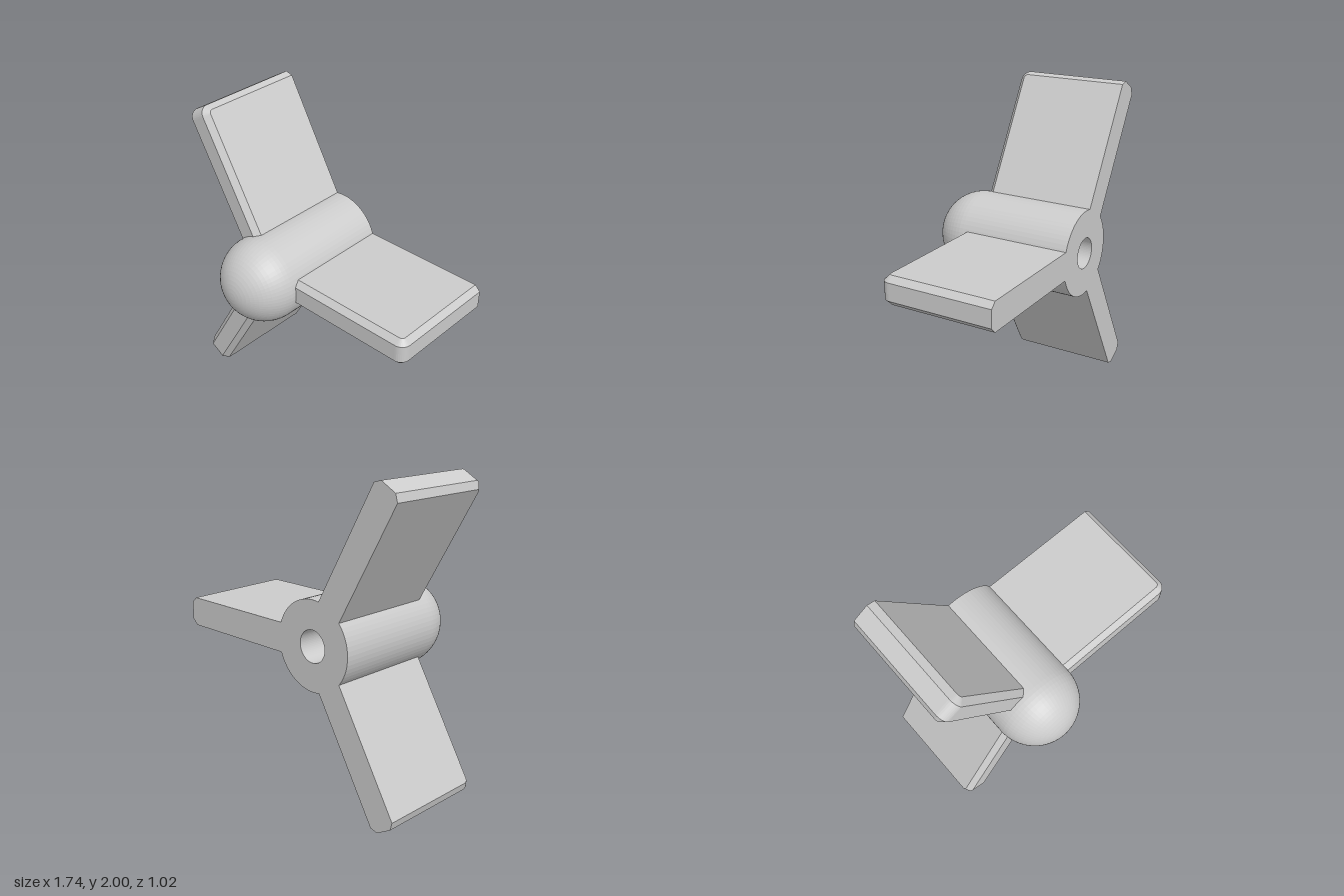
import * as THREE from 'three';

const BACK = -0.51, FRONT = 0.23;      // z extent of hub cylinder and blades
const HUB_R = 0.28, BORE_R = 0.1, BORE_END = 0.1;
const ROOT = 0.26, TIP = 1.12;         // blade reach from the hub axis
const HALF = 0.0925, BEVEL = 0.036, CORNER = 0.06;

// Hub: bored cylinder with a domed nose, turned around z
function hubGeometry() {
  const profile = [[0, BORE_END], [BORE_R, BORE_END], [BORE_R, BACK], [HUB_R, BACK]]
    .map(([r, z]) => new THREE.Vector2(r, z));
  const steps = 16;
  for (let i = 0; i <= steps; i++) {
    const a = (i / steps) * Math.PI / 2;
    profile.push(new THREE.Vector2(i === steps ? 0 : HUB_R * Math.cos(a), FRONT + HUB_R * Math.sin(a)));
  }
  return new THREE.LatheGeometry(profile, 64).rotateX(Math.PI / 2);
}

// Blade outline in (x, z), front and tip edges pulled in by inset, front tip corner rounded
function bladeOutline(inset) {
  const pts = [[ROOT, BACK], [TIP - inset, BACK]];
  const r = CORNER - inset, steps = 8;
  for (let i = 0; i <= steps; i++) {
    const a = (i / steps) * Math.PI / 2;
    pts.push([TIP - CORNER + r * Math.cos(a), FRONT - CORNER + r * Math.sin(a)]);
  }
  pts.push([ROOT, FRONT - inset]);
  return pts;
}

// Blade: four stacked outlines, the outer two inset to form the bevels
function bladeGeometry() {
  const layers = [[-HALF, BEVEL], [-HALF + BEVEL, 0], [HALF - BEVEL, 0], [HALF, BEVEL]];
  const positions = [], index = [];
  let n = 0;
  for (const [y, inset] of layers) {
    const outline = bladeOutline(inset);
    n = outline.length;
    outline.forEach(([x, z]) => positions.push(x, y, z));
  }
  const top = (layers.length - 1) * n;
  for (let l = 0; l < layers.length - 1; l++) {
    for (let i = 0; i < n; i++) {
      const a = l * n + i, b = l * n + (i + 1) % n;
      index.push(a, a + n, b, b, a + n, b + n);
    }
  }
  for (let k = 1; k < n - 1; k++) {
    index.push(0, k, k + 1, top, top + k + 1, top + k);
  }
  const geometry = new THREE.BufferGeometry();
  geometry.setAttribute('position', new THREE.Float32BufferAttribute(positions, 3));
  geometry.setIndex(index);
  geometry.computeVertexNormals();
  return geometry;
}

export function createModel() {
  const material = new THREE.MeshStandardMaterial({ color: 0xcccccc, flatShading: true });
  const model = new THREE.Group();
  model.name = 'propeller';

  const hub = new THREE.Mesh(hubGeometry(), material);
  hub.name = 'hub';
  model.add(hub);

  // Three blades evenly spaced around the hub
  const geometry = bladeGeometry();
  for (let i = 0; i < 3; i++) {
    const blade = new THREE.Mesh(geometry, material);
    blade.name = `blade${i + 1}`;
    blade.rotation.z = (i * Math.PI * 2) / 3;
    model.add(blade);
  }

  model.position.set(-0.253, 1, 0);
  const group = new THREE.Group();
  group.add(model);
  return group;
}
